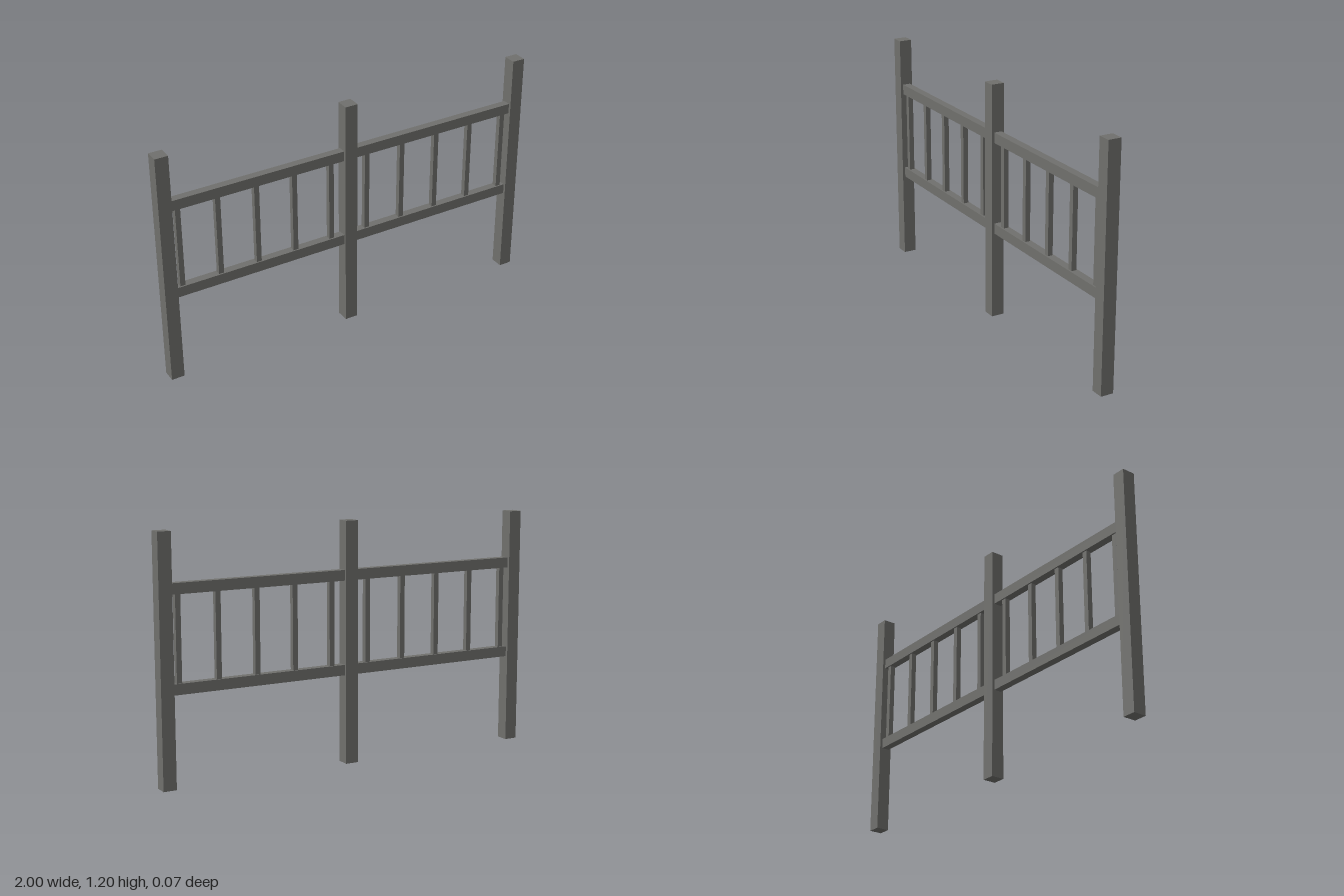
import * as THREE from 'three';

export function createModel() {
  const model = new THREE.Group();
  model.name = 'railing';
  const greyMetal = new THREE.MeshStandardMaterial({ color: 0x70706d });
  greyMetal.name = 'grey metal';

  // Adds a box standing on height y
  const addBox = (name, w, h, d, x, y) => {
    const mesh = new THREE.Mesh(new THREE.BoxGeometry(w, h, d), greyMetal);
    mesh.name = name;
    mesh.position.set(x, y + h / 2, 0);
    model.add(mesh);
  };

  const post = 0.066, railDepth = 0.04, bar = 0.026;
  const lowRail = 0.444, highRail = 0.91, railHeight = 0.052;

  // Three square posts
  for (const x of [-1 + post / 2, 0, 1 - post / 2]) addBox('post', post, 1.2, post, x, 0);

  // Two bays, each with a pair of rails and five balusters
  const span = 1 - post * 1.5;
  for (const side of [-1, 1]) {
    const middle = side * (post / 2 + span / 2);
    addBox('bottomRail', span, railHeight, railDepth, middle, lowRail);
    addBox('topRail', span, railHeight, railDepth, middle, highRail);
    for (let i = 0; i < 5; i++) {
      const y = lowRail + railHeight;
      addBox('baluster', bar, highRail - y, bar, side * (0.1 + 0.2 * i), y);
    }
  }
  return model;
}
